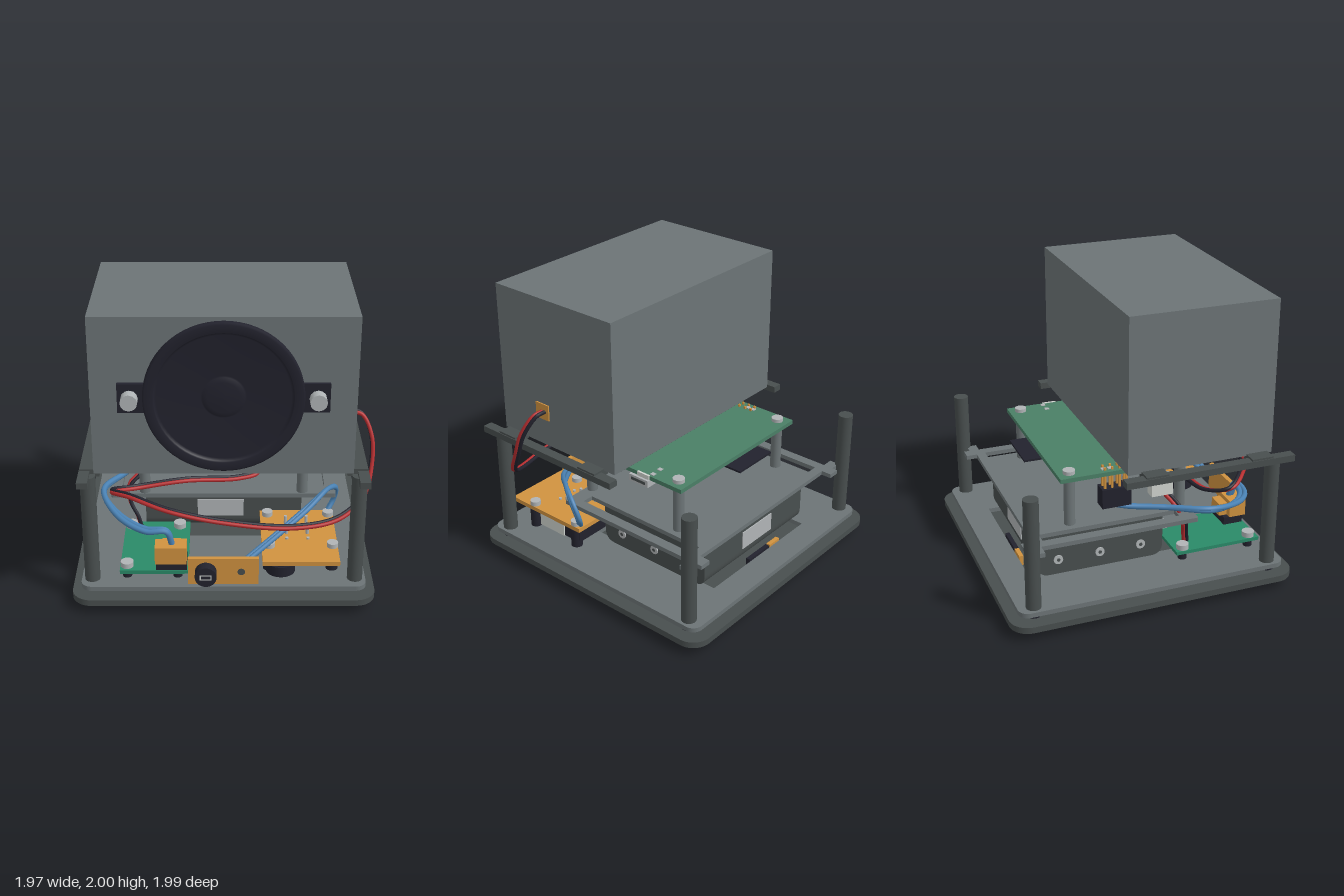
import * as THREE from 'three';

const mat = (name, color) => Object.assign(new THREE.MeshStandardMaterial({ color }), { name });
const M = {
  gray: mat('panel gray', 0x6c7476), dark: mat('dark gray', 0x484e4e), black: mat('ink black', 0x22222d),
  orange: mat('amber board', 0xd0923f), green: mat('board green', 0x4a7f66), teal: mat('teal board', 0x2a8a68),
  red: mat('red wire', 0xb52d2f), blue: mat('blue wire', 0x4a82b4), silver: mat('silver', 0xb0b4b6), white: mat('off white', 0xcfd3ce),
};

export function createModel() {
  const root = new THREE.Group();
  root.name = 'deviceStack';

  const add = (name, geo, m, x = 0, y = 0, z = 0) => {
    const mesh = new THREE.Mesh(geo, m);
    mesh.name = name;
    mesh.position.set(x, y, z);
    root.add(mesh);
    return mesh;
  };
  // box by its limits on each axis
  const box = (name, m, x0, x1, y0, y1, z0, z1) =>
    add(name, new THREE.BoxGeometry(x1 - x0, y1 - y0, z1 - z0), m, (x0 + x1) / 2, (y0 + y1) / 2, (z0 + z1) / 2);
  // upright cylinder
  const post = (name, m, x, z, r, y0, y1, n = 28) =>
    add(name, new THREE.CylinderGeometry(r, r, y1 - y0, n), m, x, (y0 + y1) / 2, z);
  // cylinder along z or x
  const discZ = (name, m, x, y, r, z0, z1, n = 32) =>
    add(name, new THREE.CylinderGeometry(r, r, z1 - z0, n).rotateX(Math.PI / 2), m, x, y, (z0 + z1) / 2);
  const discX = (name, m, y, z, r, x0, x1, n = 16) =>
    add(name, new THREE.CylinderGeometry(r, r, x1 - x0, n).rotateZ(Math.PI / 2), m, (x0 + x1) / 2, y, z);
  const wire = (name, m, r, pts) => add(name, new THREE.TubeGeometry(
    new THREE.CatmullRomCurve3(pts.map(p => new THREE.Vector3(...p))), pts.length * 12, r, 10), m);
  const rounded = (w, h, r) => {
    const s = new THREE.Shape();
    s.absarc(w - r, h - r, r, 0, Math.PI / 2);
    s.absarc(-w + r, h - r, r, Math.PI / 2, Math.PI);
    s.absarc(-w + r, -h + r, r, Math.PI, Math.PI * 1.5);
    s.absarc(w - r, -h + r, r, Math.PI * 1.5, Math.PI * 2);
    s.closePath();
    return s;
  };
  const rectPath = (x0, x1, z0, z1) => new THREE.Path(
    [[x0, -z0], [x0, -z1], [x1, -z1], [x1, -z0]].map(p => new THREE.Vector2(...p)));
  // horizontal plate from a shape drawn in (x, -z)
  const plate = (name, m, shape, y0, y1) => add(name, new THREE.ExtrudeGeometry(shape,
    { depth: y1 - y0, bevelEnabled: false, curveSegments: 12 }).rotateX(-Math.PI / 2), m, 0, y0, 0);

  // Base, floor and feet
  plate('basePlate', M.dark, rounded(0.985, 0.985, 0.13), 0.065, 0.108);
  const floor = rounded(0.925, 0.925, 0.07);
  floor.holes.push(rectPath(-0.5, 0.5, -0.74, 0.3));
  plate('floorPlate', M.gray, floor, 0.14, 0.172);
  for (const sx of [-1, 1]) for (const sz of [-1, 1]) {
    post('foot', M.black, sx * 0.76, sz * 0.76, 0.092, 0, 0.065, 32);
    post('post', M.dark, sx * 0.855, sz * 0.82, 0.05, 0.172, 0.935);
    post('postBolt', M.silver, sx * 0.855, sz * 0.82, 0.045, 0.04, 0.066);
    post('washer', M.black, sx * 0.855, sz * 0.82, 0.05, 0.116, 0.126);
    post('spacer', M.silver, sx * 0.855, sz * 0.82, 0.03, 0.105, 0.142);
  }

  // Speaker cabinet and its side rails
  box('cabinet', M.gray, -0.813, 0.813, 0.955, 2, -0.17, 0.833);
  box('cabinetBottomPanel', M.dark, -0.74, 0.74, 0.937, 0.955, -0.15, 0.78);
  for (const s of [-1, 1]) {
    const span = (a, b) => s > 0 ? [a, b] : [-b, -a];
    box('rail', M.dark, ...span(0.842, 0.91), 0.91, 0.955, -0.215, 0.955);
    for (const z of [-0.005, 0.725]) box('railTab', M.dark, ...span(0.78, 0.905), 0.918, 0.968, z - 0.075, z + 0.075);
  }

  // Speaker
  const profile = [[0, 0.022], [0.1, 0.02], [0.13, 0.008], [0.14, 0.005], [0.41, 0.02], [0.425, 0.03],
    [0.43, 0.042], [0.48, 0.042], [0.492, 0.034], [0.492, 0]];
  add('speakerCone', new THREE.LatheGeometry(profile.reverse().map(p => new THREE.Vector2(...p)), 64)
    .rotateX(Math.PI / 2), M.black, 0, 1.485, 0.833).material.side = THREE.DoubleSide;
  for (const s of [-1, 1]) {
    box('speakerEar', M.black, s * 0.545 - 0.1, s * 0.545 + 0.1, 1.39, 1.58, 0.833, 0.86);
    discZ('speakerBolt', M.silver, s * 0.57, 1.485, 0.053, 0.86, 0.93, 12);
  }

  // Slotted tray with ears that clip to the back posts
  const tray = rounded(0.76, 0.5575, 0.01);
  for (const s of [-1, 1]) tray.holes.push(rectPath(s * 0.65 - 0.04, s * 0.65 + 0.04, -0.4925, 0.45));
  plate('tray', M.gray, tray, 0.505, 0.535).position.z = -0.2075;
  for (const s of [-1, 1]) {
    box('trayEar', M.gray, s * 0.72 - 0.04, s * 0.72 + 0.04, 0.505, 0.535, -0.84, -0.76);
    box('trayEar', M.gray, s * 0.79 - 0.05, s * 0.79 + 0.05, 0.505, 0.535, -0.8, -0.73);
  }

  // Drive housing under the tray
  const side = new THREE.Shape();
  side.moveTo(-0.19, 0.47);
  side.lineTo(-0.19, 0.26);
  side.quadraticCurveTo(-0.19, 0.178, -0.11, 0.178);
  side.lineTo(0.61, 0.178);
  side.quadraticCurveTo(0.69, 0.178, 0.69, 0.26);
  side.lineTo(0.69, 0.47);
  side.closePath();
  add('driveHousing', new THREE.ExtrudeGeometry(side, { depth: 1.08, bevelEnabled: false })
    .rotateY(Math.PI / 2), M.dark, -0.54, 0, 0);
  box('driveTop', M.dark, -0.39, 0.39, 0.47, 0.505, -0.66, 0.16);
  box('driveLabel', M.silver, -0.18, 0.14, 0.27, 0.4, 0.188, 0.196);
  box('driveLabel', M.silver, -0.18, 0.14, 0.27, 0.4, -0.697, -0.688);
  for (const z of [0.03, -0.26, -0.55]) for (const s of [-1, 1]) {
    discX('driveScrew', M.silver, 0.285, z, 0.032, s * 0.543 - 0.006, s * 0.543 + 0.006);
    discX('driveScrewSocket', M.dark, 0.285, z, 0.013, s * 0.548 - 0.004, s * 0.548 + 0.004, 6);
  }
  box('ribbonPlug', M.black, -0.12, 0.1, 0.108, 0.178, -0.73, -0.7);
  box('ribbonPlug', M.orange, -0.24, -0.13, 0.108, 0.178, -0.73, -0.7);

  // Main board on standoffs
  box('mainBoard', M.green, -0.607, 0.607, 0.868, 0.897, -0.545, 0.52);
  for (const x of [-0.533, 0.533]) for (const z of [-0.465, 0.31]) {
    post('standoff', M.gray, x, z, 0.037, 0.535, 0.868);
    post('boardScrew', M.silver, x, z, 0.04, 0.897, 0.922, 20);
  }
  box('antennaModule', M.black, -0.195, 0.145, 0.853, 0.867, -0.66, -0.4);
  box('processor', M.dark, -0.17, 0.13, 0.815, 0.868, -0.3, 0);
  box('sidePort', M.silver, 0.53, 0.625, 0.815, 0.865, -0.28, -0.12);
  box('sidePortSlot', M.dark, 0.622, 0.628, 0.83, 0.85, -0.26, -0.14);
  for (const [x0, x1] of [[0.17, 0.32], [-0.61, -0.53]]) {
    box('wirePlug', M.white, x0, x1, 0.66, 0.79, 0.08, 0.23);
    box('wireSocket', M.white, x0 + 0.01, x1 - 0.01, 0.79, 0.868, 0.08, 0.18);
  }
  box('pinPlug', M.black, -0.6, -0.5, 0.63, 0.765, -0.26, -0.06);
  for (let i = 0; i < 4; i++) for (const x of [-0.575, -0.53])
    box('pin', M.orange, x - 0.007, x + 0.007, 0.76, 0.915, -0.235 + i * 0.05 - 0.007, -0.235 + i * 0.05 + 0.007);
  // small chips scattered below the main board
  let seed = 7;
  const rnd = () => (seed = (seed * 16807) % 2147483647) / 2147483647;
  const chipMats = [M.black, M.silver, M.dark, M.orange];
  for (let i = 0; i < 36; i++) {
    const x = -0.45 + rnd() * 0.9, z = -0.42 + rnd() * 0.85, w = 0.012 + rnd() * 0.025, d = 0.012 + rnd() * 0.02;
    box('chip', chipMats[i % 4], x - w, x + w, 0.842, 0.868, z - d, z + d);
  }
  for (const [x, z] of [[-0.555, -0.24], [-0.555, -0.195], [0.5, -0.28], [0.575, -0.285]])
    box('solderPad', M.silver, x - 0.015, x + 0.015, 0.897, 0.902, z - 0.015, z + 0.015);
  box('edgeConnector', M.white, 0.6, 0.615, 0.87, 0.9, -0.28, -0.18);

  // Small control board at the front right
  box('controlBoard', M.teal, -0.675, -0.23, 0.222, 0.246, 0.24, 0.85);
  for (const x of [-0.63, -0.3]) for (const z of [0.3, 0.79]) {
    post('controlStandoff', M.black, x, z, 0.03, 0.172, 0.222, 16);
    post('controlScrew', M.silver, x, z, 0.042, 0.246, 0.282, 18);
  }
  for (let i = 0; i < 5; i++) post('solderPin', M.silver, -0.44 + i * 0.045, 0.78, 0.012, 0.195, 0.222, 8);
  box('terminalBase', M.black, -0.44, -0.24, 0.246, 0.3, 0.7, 0.84);
  box('terminalBlock', M.orange, -0.445, -0.24, 0.3, 0.42, 0.74, 0.86);
  box('terminalBack', M.orange, -0.4, -0.28, 0.3, 0.39, 0.68, 0.74);

  // Port panel
  box('portPanel', M.orange, -0.23, 0.225, 0.197, 0.387, 0.898, 0.93);
  discZ('portCollar', M.black, -0.115, 0.29, 0.07, 0.93, 0.998);
  box('portSlotRim', M.white, -0.153, -0.077, 0.272, 0.308, 0.996, 1);
  box('portSlot', M.black, -0.145, -0.085, 0.28, 0.3, 0.999, 1.002);
  discZ('panelHoleRim', M.dark, 0.113, 0.29, 0.024, 0.928, 0.933, 20);

  // Amplifier board
  box('amplifierBoard', M.orange, 0.25, 0.75, 0.307, 0.338, 0.24, 0.89);
  for (const x of [0.3, 0.715]) for (const z of [0.3, 0.7]) {
    post('amplifierStandoff', M.black, x, z, 0.04, 0.172, 0.307, 18);
    post('amplifierScrew', M.silver, x, z, 0.037, 0.338, 0.37, 18);
  }
  post('capacitor', M.black, 0.375, 0.72, 0.098, 0.172, 0.245);
  post('capacitorNeck', M.black, 0.375, 0.72, 0.08, 0.245, 0.307);
  box('amplifierSocket', M.white, 0.6, 0.73, 0.2, 0.305, 0.41, 0.64);
  box('amplifierChip', M.black, 0.45, 0.73, 0.21, 0.305, 0.26, 0.4);
  for (let i = 0; i < 4; i++) for (const x of [0.42, 0.56])
    post('amplifierPin', M.silver, x, 0.4 + i * 0.07, 0.011, 0.3, i % 2 ? 0.35 : 0.39, 8);

  // Wires
  box('wireGrommet', M.orange, 0.81, 0.822, 1.145, 1.257, 0.4, 0.515);
  const loop = [[0.8, 1.2, 0.46], [0.89, 1.19, 0.47], [0.955, 1.06, 0.53], [0.955, 0.88, 0.6], [0.9, 0.71, 0.7],
    [0.74, 0.61, 0.81], [0.45, 0.59, 0.89], [0, 0.64, 0.91], [-0.35, 0.7, 0.87], [-0.6, 0.735, 0.75],
    [-0.73, 0.69, 0.6], [-0.6, 0.645, 0.48], [-0.25, 0.66, 0.4], [0.1, 0.605, 0.27], [0.24, 0.61, 0.19], [0.25, 0.67, 0.16]];
  wire('redSpeakerWire', M.red, 0.013, loop);
  wire('blackSpeakerWire', M.black, 0.013, loop.map(([x, y, z], i) => [x - (i > 0 && i < 6 ? 0.004 : 0), y + 0.004, z - 0.026]));
  const feed = [[-0.57, 0.67, 0.16], [-0.57, 0.63, 0.2], [-0.64, 0.56, 0.25], [-0.64, 0.45, 0.29], [-0.59, 0.35, 0.32], [-0.56, 0.25, 0.34]];
  wire('redFeedWire', M.red, 0.013, feed);
  wire('blackFeedWire', M.black, 0.013, feed.map(([x, y, z]) => [x + 0.01, y, z + 0.027]));
  for (const d of [0, 0.035]) {
    wire('blueFrontWire', M.blue, 0.019, [[-0.55, 0.64, -0.16 - d], [-0.56, 0.61, -0.1], [-0.66, 0.6, 0.15],
      [-0.8, 0.595 + d / 3, 0.42], [-0.68, 0.55, 0.65 + d], [-0.5, 0.52, 0.78 + d], [-0.37, 0.52, 0.8 + d / 2], [-0.335, 0.41, 0.78 + d / 2]]);
    wire('blueSideWire', M.blue, 0.016, [[0.15, 0.34, 0.88 - d], [0.3, 0.42, 0.78 - d], [0.55, 0.54, 0.58 - d],
      [0.7, 0.6, 0.4], [0.765, 0.54, 0.27 + d / 2], [0.76, 0.43, 0.22 + d / 2], [0.7, 0.33, 0.27 + d / 2]]);
  }
  return root;
}
